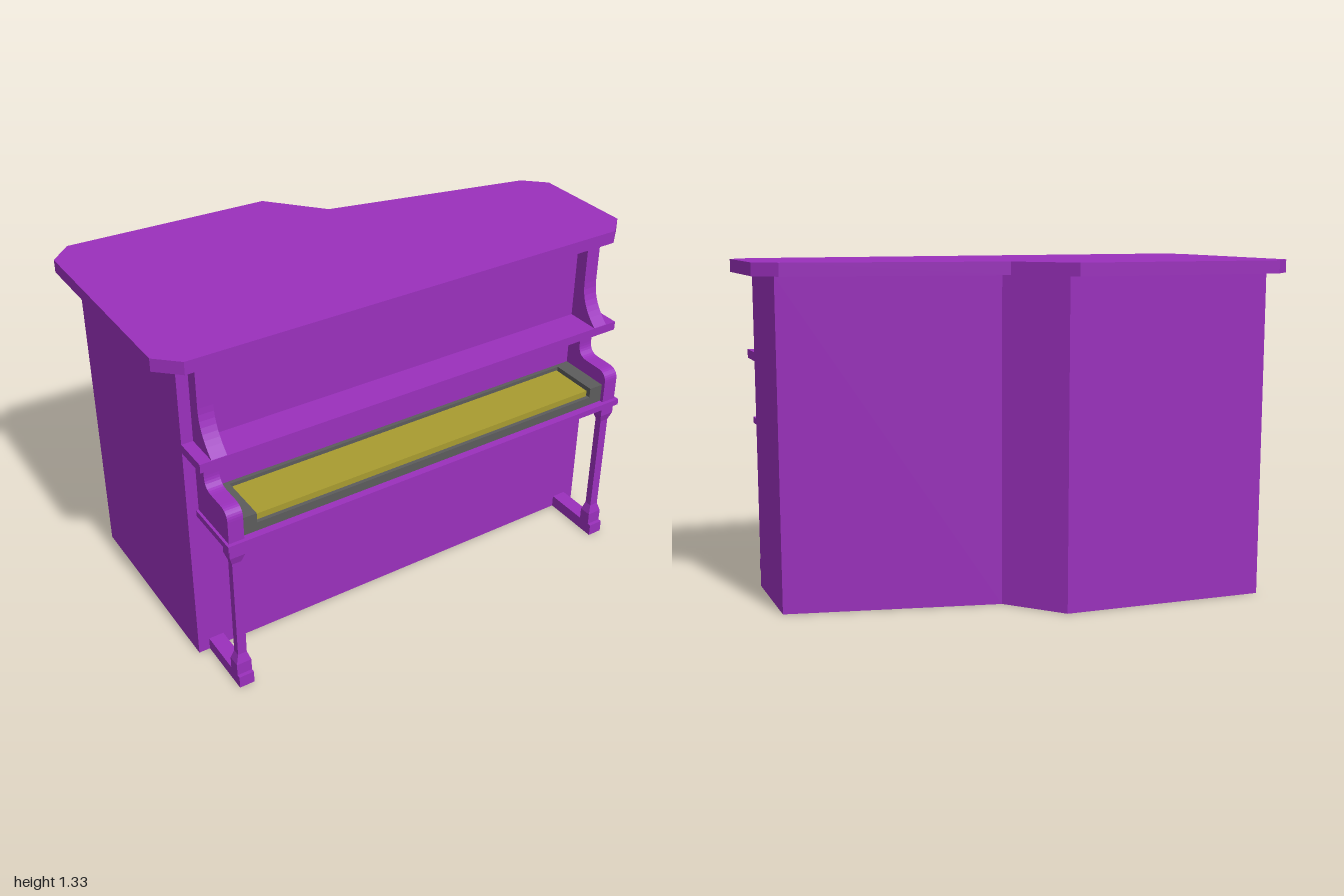
import * as THREE from 'three';

const mat = (color) => new THREE.MeshStandardMaterial({ color, flatShading: true });

export function createModel() {
  const root = new THREE.Group();
  root.name = 'uprightPiano';
  const wood = mat(0x9a30bc);
  const dark = mat(0x5c5c5c);
  const ivory = mat(0xa89c30);

  const add = (name, geometry, material = wood, parent = root) => {
    const mesh = new THREE.Mesh(geometry, material);
    mesh.name = name;
    parent.add(mesh);
    return mesh;
  };

  // Box given by its limits on each axis
  const box = (name, x0, x1, y0, y1, z0, z1, material = wood, parent = root) => {
    const mesh = add(name, new THREE.BoxGeometry(x1 - x0, y1 - y0, z1 - z0), material, parent);
    mesh.position.set((x0 + x1) / 2, (y0 + y1) / 2, (z0 + z1) / 2);
    return mesh;
  };

  // Vertical slab from a floor plan of [x, z] points
  const slab = (name, plan, y0, y1) => {
    const shape = new THREE.Shape(plan.map(([x, z]) => new THREE.Vector2(x, -z)));
    const geometry = new THREE.ExtrudeGeometry(shape, { depth: y1 - y0, bevelEnabled: false });
    geometry.rotateX(-Math.PI / 2).translate(0, y0, 0);
    return add(name, geometry);
  };

  // Case and lid, with the stepped, slanting back
  slab('case', [
    [-0.915, 0.335], [0.915, 0.335], [0.915, -0.08],
    [0.09, -0.26], [-0.095, -0.47], [-0.915, -0.495],
  ], 0, 1.28);
  slab('lid', [
    [-0.915, 0.415], [0.915, 0.415], [1, 0.335], [1, -0.085], [0.915, -0.165],
    [0.09, -0.345], [-0.095, -0.555], [-0.915, -0.585], [-1, -0.5], [-1, 0.335],
  ], 1.28, 1.33);

  // Music shelf and key bed
  box('musicShelf', -0.915, 0.915, 0.925, 0.96, 0.335, 0.475);
  box('keyBed', -0.88, 0.88, 0.64, 0.665, 0.335, 0.58);

  // Keyboard with its dark surround
  const keyboard = new THREE.Group();
  keyboard.name = 'keyboard';
  root.add(keyboard);
  box('keyFrame', -0.81, 0.81, 0.665, 0.7, 0.335, 0.55, dark, keyboard);
  box('keyBackRail', -0.75, 0.75, 0.7, 0.74, 0.335, 0.35, dark, keyboard);
  box('keys', -0.745, 0.745, 0.7, 0.725, 0.35, 0.535, ivory, keyboard);
  for (const s of [-1, 1]) {
    const block = box('keyBlock', -0.03, 0.03, 0.7, 0.74, 0.335, 0.55, dark, keyboard);
    block.position.x = s * 0.78;
  }

  // Side profiles, drawn as (z, y)
  const upper = new THREE.Shape();
  upper.moveTo(0.335, 0.96);
  upper.lineTo(0.472, 0.96);
  upper.bezierCurveTo(0.425, 1.0, 0.39, 1.05, 0.39, 1.12);
  upper.lineTo(0.39, 1.28);
  upper.lineTo(0.335, 1.28);

  const lower = new THREE.Shape();
  lower.moveTo(0.335, 0.665);
  lower.lineTo(0.565, 0.665);
  lower.lineTo(0.565, 0.755);
  lower.quadraticCurveTo(0.565, 0.8, 0.515, 0.8);
  lower.lineTo(0.45, 0.8);
  lower.quadraticCurveTo(0.4, 0.8, 0.4, 0.85);
  lower.lineTo(0.4, 0.925);
  lower.lineTo(0.335, 0.925);

  const bracket = (shape) => new THREE.ExtrudeGeometry(shape, {
    depth: 0.06, bevelEnabled: false, curveSegments: 8,
  }).rotateY(-Math.PI / 2).translate(0.03, 0, 0);

  // Square leg: half-widths by height, swept round four sides
  const legProfile = [
    [0.025, 0.05], [0.025, 0.1], [0.015, 0.137],
    [0.015, 0.563], [0.025, 0.597], [0.025, 0.64],
  ].map(([half, y]) => new THREE.Vector2(half * Math.SQRT2, y));

  for (const s of [-1, 1]) {
    const side = new THREE.Group();
    side.name = s > 0 ? 'leftSupport' : 'rightSupport';
    side.position.x = s * 0.84;
    root.add(side);
    add('upperBracket', bracket(upper), wood, side);
    add('armCheek', bracket(lower), wood, side);
    const leg = add('frontLeg', new THREE.LatheGeometry(legProfile, 4, Math.PI / 4), wood, side);
    leg.scale.x = 1.2;
    leg.position.z = 0.54;
    box('foot', -0.03, 0.03, 0, 0.05, 0.335, 0.58, wood, side);
  }

  return root;
}
